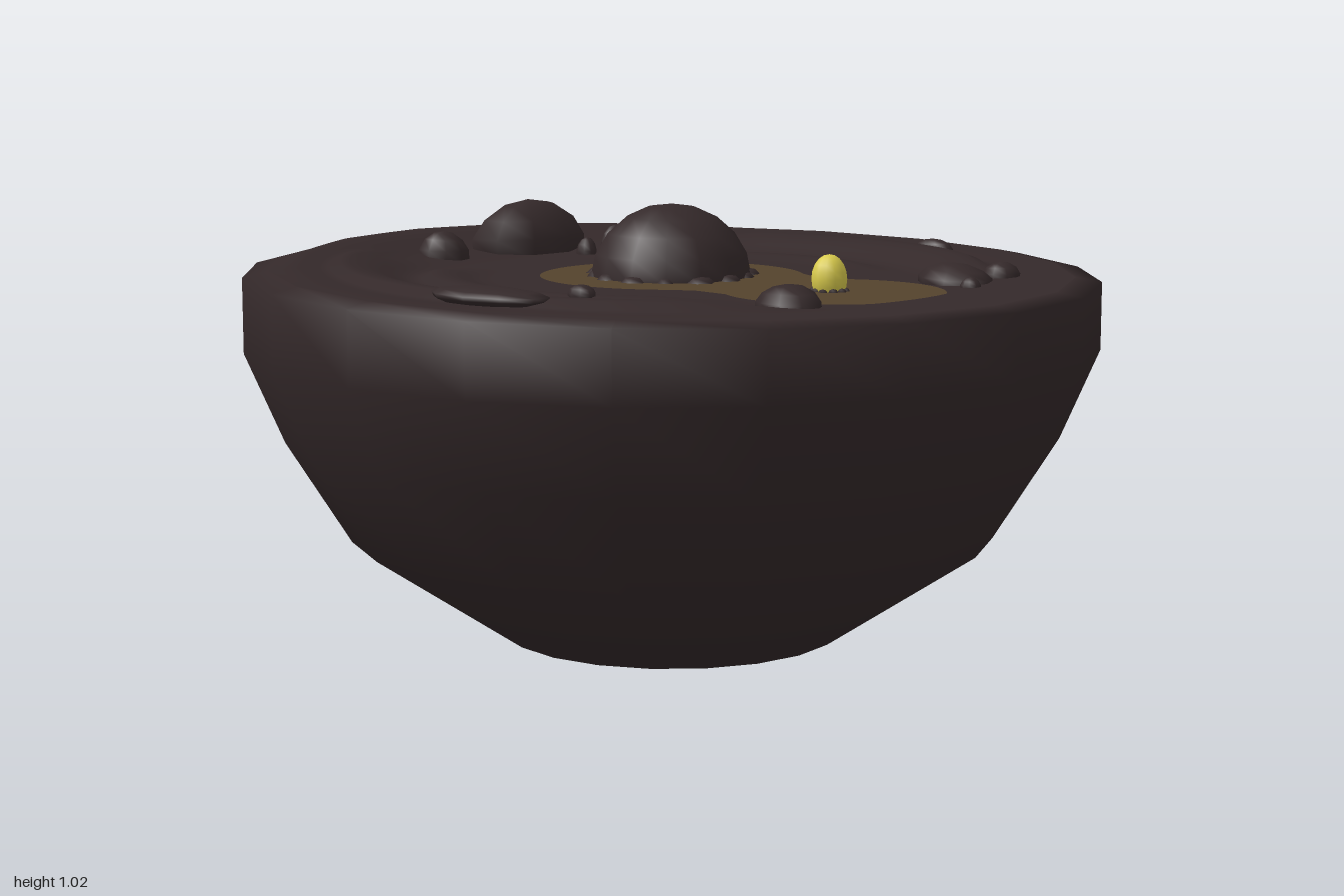
import * as THREE from 'three';
import { mergeVertices } from 'three/addons/utils/BufferGeometryUtils.js';

const FLOOR = 0.845;

// Weld seams and give smooth normals
function smooth(geo) {
  geo.deleteAttribute('uv');
  geo.deleteAttribute('normal');
  const g = mergeVertices(geo, 1e-4);
  g.computeVertexNormals();
  return g;
}

// Move each vertex with a rule that edits a Vector3
function deform(geo, rule) {
  const p = geo.attributes.position, v = new THREE.Vector3();
  for (let i = 0; i < p.count; i++) {
    v.fromBufferAttribute(p, i);
    rule(v);
    p.setXYZ(i, v.x, v.y, v.z);
  }
  return smooth(geo);
}

const step = THREE.MathUtils.smoothstep;
const lathe = (pts, n) => new THREE.LatheGeometry(pts.map(([r, y]) => new THREE.Vector2(r, y)), n);

// Raised crescent between two radii and two angles (degrees)
function crescent(r, a, r0, r1, a0, a1, h) {
  const across = step(r, r0, r0 + (r1 - r0) * 0.6) * (1 - step(r, r1 - 0.045, r1));
  const along = step(a, a0, a0 + 25) * (1 - step(a, a1 - 25, a1));
  return h * across * along;
}

// Height of the earth surface inside the rim
function groundHeight(x, z, r) {
  const a = THREE.MathUtils.radToDeg(Math.atan2(z, x));
  const rim = 0.87 - 0.016 * x;
  let y = THREE.MathUtils.lerp(FLOOR, rim, step(r, 0.55, 0.92));
  const left = Math.max(0, -x / Math.max(r, 0.01));
  y += 0.022 * left * left * step(r, 0.7, 0.84) * (1 - step(r, 0.88, 0.94));
  y += crescent(r, a, 0.6, 0.81, 22, 165, 0.025);
  y += crescent(r, a, 0.44, 0.6, 28, 160, 0.018);
  y += crescent(r, a, 0.57, 0.78, -135, -35, 0.03);
  y += crescent(r, a, 0.42, 0.56, -165, -55, 0.012);
  return y;
}

// Lumpy stone; the seed changes its shape
function stoneGeometry(seed, w = 10, h = 8, rough = 0.12) {
  return deform(new THREE.SphereGeometry(1, w, h), (v) => {
    const n = Math.sin(v.x * 2.7 + seed * 1.9) + Math.sin(v.z * 3.1 + seed * 2.3) + Math.sin(v.y * 2.9 + seed);
    v.multiplyScalar(1 + (rough * n) / 3);
  });
}

export function createModel() {
  const group = new THREE.Group();
  const earth = new THREE.MeshStandardMaterial({ name: 'darkEarth', color: 0x34292a });
  const glow = new THREE.MeshStandardMaterial({ name: 'mutedGold', color: 0x54432d });
  const yellow = new THREE.MeshStandardMaterial({ name: 'yellow', color: 0xd8ca4c });

  const add = (name, geo, mat, parent = group) => {
    const m = new THREE.Mesh(geo, mat);
    m.name = name;
    parent.add(m);
    return m;
  };

  // Twenty-sided bowl with a slightly tilted rim
  const bowl = lathe([[0, 0], [0.4, 0], [0.76, 0.24], [0.91, 0.48], [1, 0.69], [1, 0.8575], [0.94, 0.87]], 20);
  add('bowl', deform(bowl, (v) => {
    if (v.y > 0.86) v.y -= 0.016 * v.x;
    else if (v.y > 0.8) v.y -= 0.0125 * v.x;
  }), earth);

  // Earth surface with crescents, following the twenty-sided rim
  const rows = [];
  for (let i = 0; i <= 40; i++) rows.push([0.94 * (1 - i / 40), FLOOR]);
  const sector = Math.PI / 10;
  add('ground', deform(lathe(rows, 100), (v) => {
    const r = Math.hypot(v.x, v.z);
    if (r > 0.8) {
      const a = Math.atan2(v.z, v.x) + Math.PI * 2;
      const flat = Math.cos(sector / 2) / Math.cos((a % sector) - sector / 2);
      const k = THREE.MathUtils.lerp(1, flat, (r - 0.8) / 0.14);
      v.x *= k;
      v.z *= k;
    }
    v.y = groundHeight(v.x, v.z, r);
  }), earth);

  // Two-lobed gold patch
  const patch = new THREE.Shape();
  const notch = 0.83, lobe = 2.15;
  patch.absarc(0, 0, 0.31, notch, Math.PI * 2 - notch, false);
  patch.lineTo(0.265, -0.202);
  patch.absarc(0.495, 0, 0.25, -lobe, lobe, false);
  patch.lineTo(0.265, 0.202);
  const patchGeo = new THREE.ShapeGeometry(patch, 32);
  patchGeo.rotateX(-Math.PI / 2);
  // Drape the patch just above the ground
  add('goldPatch', patchGeo, glow).position.y = FLOOR + 0.006;

  // Central mound with a skirt of pebbles
  const mound = add('mound', stoneGeometry(2, 14, 10, 0.04), earth);
  mound.position.y = FLOOR;
  mound.scale.set(0.187, 0.18, 0.187);
  const skirt = new THREE.Group();
  skirt.name = 'moundPebbles';
  group.add(skirt);
  for (let i = 0; i < 14; i++) {
    const a = (i / 14) * Math.PI * 2;
    const s = 0.03 + 0.008 * Math.sin(i * 2.3);
    const p = add('moundPebble', stoneGeometry(i, 6, 5), earth, skirt);
    p.position.set(Math.cos(a) * 0.178, FLOOR, Math.sin(a) * 0.178);
    p.scale.set(s, 0.02, s);
  }

  // Yellow bud with a ring of grains at its foot
  const bud = add('bud', new THREE.SphereGeometry(1, 12, 10), yellow);
  bud.position.set(0.48, 0.878, 0);
  bud.scale.set(0.04, 0.055, 0.042);
  for (let i = 0; i < 10; i++) {
    const a = (i / 10) * Math.PI * 2;
    const g = add('budGrain', stoneGeometry(i, 6, 4), earth);
    g.position.set(0.48 + Math.cos(a) * 0.036, FLOOR + 0.004, Math.sin(a) * 0.036);
    g.scale.set(0.012, 0.01, 0.012);
  }

  // Scattered rocks: x, z, half width, half depth, top height, turn
  const rocks = [
    [-0.68, -0.19, 0.105, 0.165, 0.975, -0.1],
    [-0.68, 0.1, 0.065, 0.055, 0.925, 0.3],
    [-0.56, -0.39, 0.035, 0.045, 0.91, -0.4],
    [-0.53, -0.25, 0.03, 0.027, 0.885, 0],
    [-0.46, -0.54, 0.085, 0.045, 0.9, 0.6],
    [0.17, -0.78, 0.055, 0.03, 0.892, 0],
    [0.61, -0.465, 0.045, 0.038, 0.89, 0.4],
    [0.57, -0.35, 0.11, 0.075, 0.895, -0.4],
    [0.67, -0.27, 0.024, 0.024, 0.875, 0],
    [0.6, 0.285, 0.09, 0.065, 0.9, -0.2],
    [0.21, 0.51, 0.036, 0.03, 0.885, 0],
    [0.18, 0.76, 0.145, 0.07, 0.9, 0.2],
  ];
  rocks.forEach(([x, z, w, d, top, turn], i) => {
    const base = Math.min(groundHeight(x, z, Math.hypot(x, z)), top - 0.02);
    const rock = add('rock', stoneGeometry(i + 1, 9, 7), earth);
    rock.position.set(x, base, z);
    rock.scale.set(w, top - base, d);
    rock.rotation.y = turn;
  });

  return group;
}
